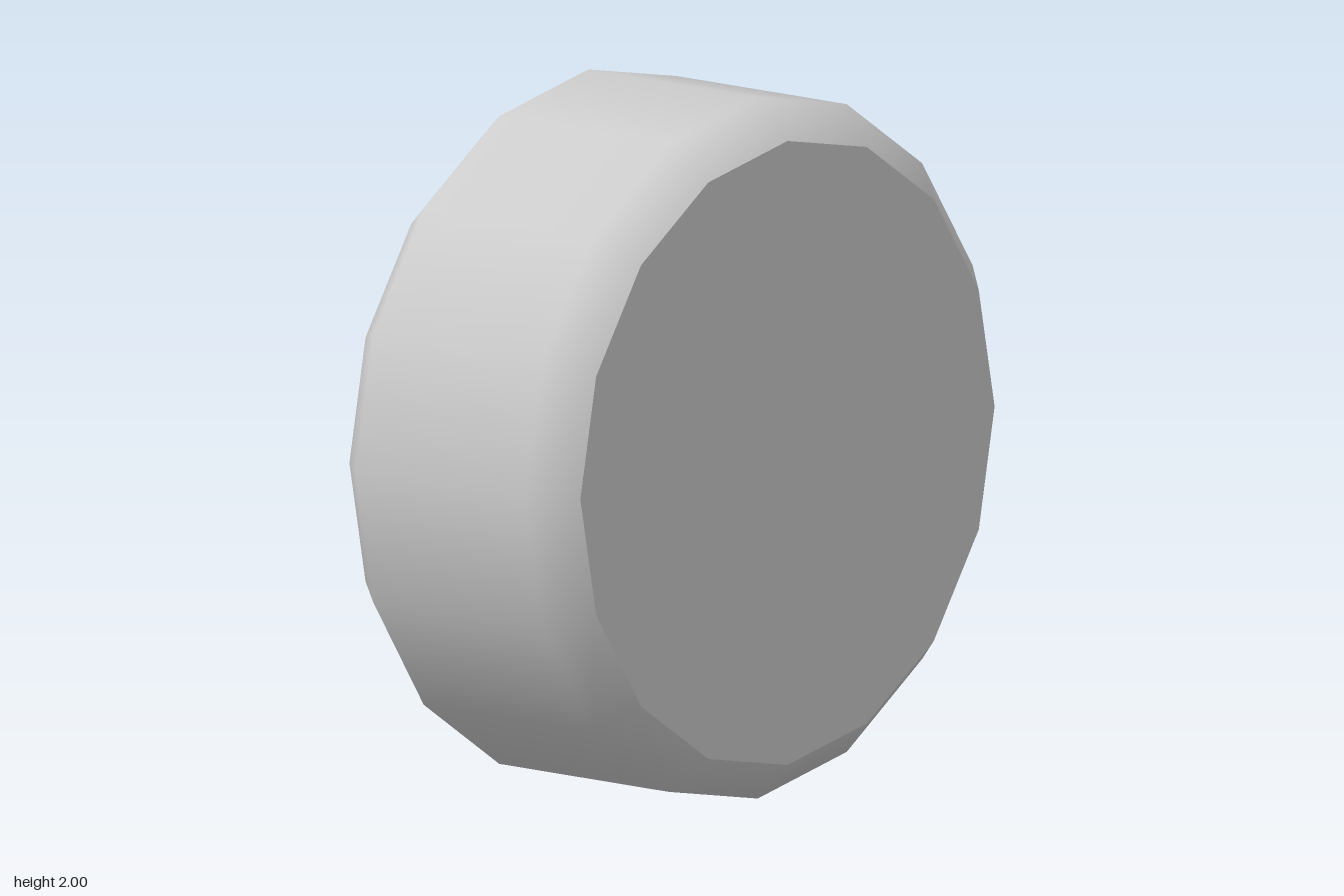
import * as THREE from 'three';

const SIDES = 16;
const material = new THREE.MeshStandardMaterial({ color: 0xcccccc });

// Revolve [radius, x] pairs around the wheel axle, running from -x to +x
function revolve(name, profile) {
  const points = profile.map(([r, x]) => new THREE.Vector2(r, x));
  const geometry = new THREE.LatheGeometry(points, SIDES);
  geometry.rotateZ(-Math.PI / 2);
  const mesh = new THREE.Mesh(geometry, material);
  mesh.name = name;
  return mesh;
}

export function createModel() {
  const wheel = new THREE.Group();
  wheel.name = 'wheel';

  // Shallow domed hub, sunk at its rim, with the sloping lip around it
  wheel.add(revolve('hubDome', [[0, -0.46], [0.41, -0.413], [0.62, -0.355]]));
  wheel.add(revolve('rimLip', [[0.62, -0.355], [0.68, -0.4]]));

  // Flat sidewall, rounded shoulder, tread and inner chamfer
  wheel.add(revolve('tire', [
    [0.68, -0.4], [0.86, -0.4], [0.91, -0.38], [1, -0.28],
    [1, 0.345], [0.89, 0.455],
  ]));

  // Flat disc closing the inner side
  const disc = new THREE.Mesh(new THREE.CircleGeometry(0.89, SIDES), material);
  disc.name = 'innerDisc';
  disc.rotation.y = Math.PI / 2;
  disc.position.x = 0.455;
  wheel.add(disc);

  wheel.position.y = 1;
  const model = new THREE.Group();
  model.add(wheel);
  return model;
}
